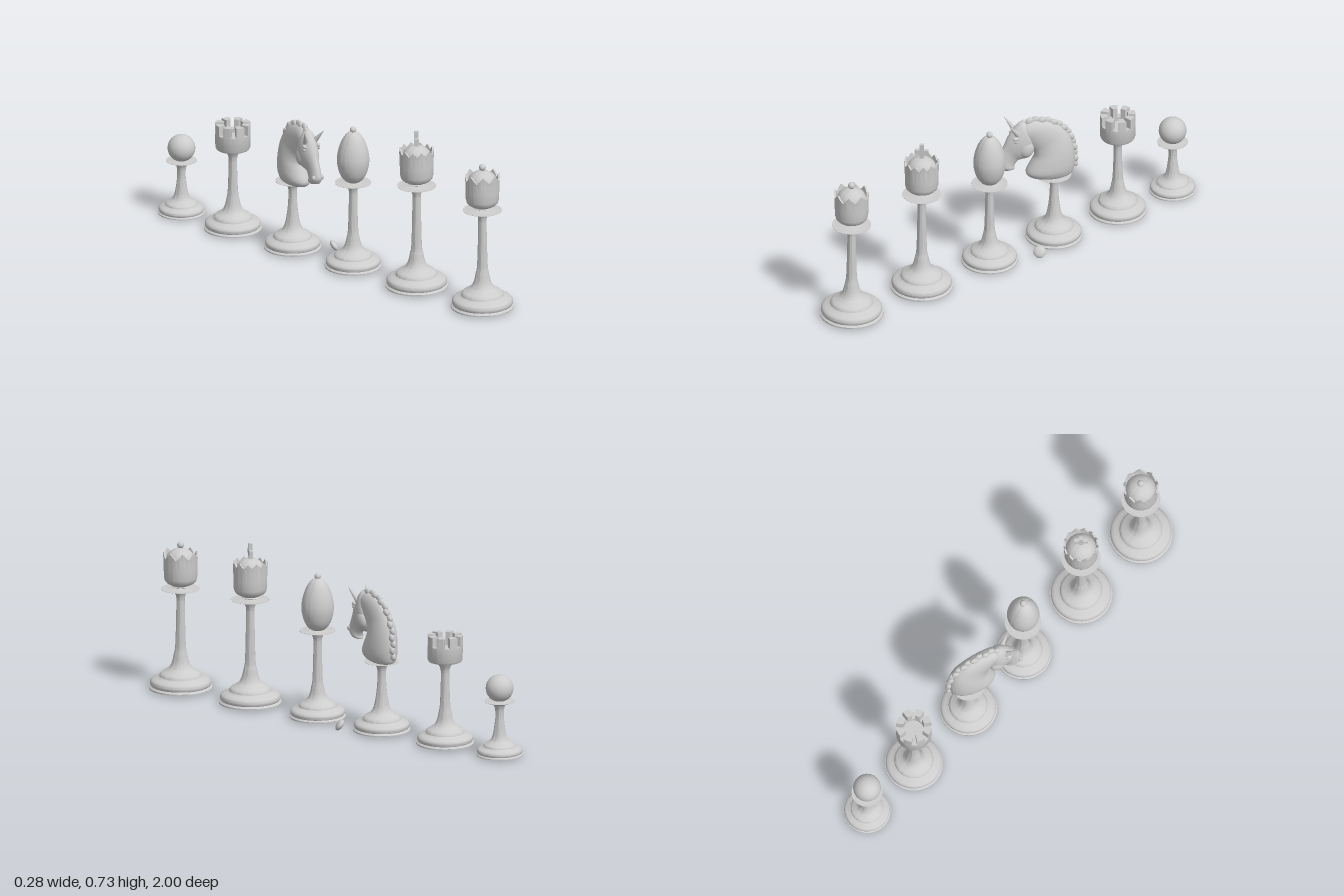
import * as THREE from 'three';
import { toCreasedNormals } from 'three/addons/utils/BufferGeometryUtils.js';

const grey = new THREE.MeshStandardMaterial({ color: 0xcccccc });
grey.name = 'light grey';

const v2 = (pts) => pts.map(([x, y]) => new THREE.Vector2(x, y));

function add(parent, name, geometry, x = 0, y = 0, z = 0) {
  const mesh = new THREE.Mesh(geometry, grey);
  mesh.name = name;
  mesh.position.set(x, y, z);
  parent.add(mesh);
  return mesh;
}

function turned(pts, segments = 64) {
  return toCreasedNormals(new THREE.LatheGeometry(v2(pts), segments), 0.6);
}

// Stepped foot, concave stem and (optionally) a thin saucer collar
function pedestal(piece, R, top, collar, hollow = true) {
  const k = R / 0.14;
  const inside = hollow
    ? [[0, 0.064], [0.03, 0.062], [0.065, 0.055], [0.095, 0.04], [0.112, 0.022], [0.12, 0.007]]
    : [[0, 0.007], [0.12, 0.007]];
  const foot = [[0.14, 0.007], [0.14, 0.013], [0.135, 0.015], [0.131, 0.02], [0.134, 0.025], [0.135, 0.033],
    [0.134, 0.04], [0.128, 0.047], [0.115, 0.053], [0.1, 0.058], [0.094, 0.062], [0.092, 0.07], [0.085, 0.078]];
  const sweep = [[0.085, 0.078], [0.068, 0.088], [0.05, 0.102], [0.038, 0.125], [0.03, 0.16], [0.023, 0.21]];
  const fit = ([r, y]) => [0.018 + (r - 0.018) * k, y * k];
  const stem = new THREE.SplineCurve(v2([...sweep.map(fit), [0.0185, top - 0.07], [0.02, top - 0.035], [0.027, top - 0.016]]))
    .getPoints(40).map((p) => [p.x, p.y]);
  const saucer = collar
    ? [[0.045, top - 0.009], [collar, top], [collar, top + 0.001], [0.045, top + 0.001], [0.03, top + 0.005], [0, top + 0.006]]
    : [[0.035, top], [0, top]];
  add(piece, 'pedestal', turned([...inside.map(([r, y]) => [r * k, y * k]), ...foot.map(fit), ...stem.slice(1), ...saucer]));
}

// Cup with a zigzag rim and a low dome inside
function crown(piece, base, H, teeth, depth) {
  const profile = [[0.026, 0], [0.036, 0.005], [0.032, 0.01], [0.046, 0.016], [0.06, 0.024], [0.069, 0.034], [0.073, 0.048],
    [0.074, 0.09], [0.075, H - 0.04], [0.077, H], [0.069, H], [0.066, H - 0.04], [0.058, H - 0.018],
    [0.044, H - 0.003], [0.024, H + 0.008], [0, H + 0.012]];
  const geo = new THREE.LatheGeometry(v2(profile), teeth * 8);
  const p = geo.attributes.position;
  for (let i = 0; i < p.count; i++) {
    const r = Math.hypot(p.getX(i), p.getZ(i));
    if (Math.abs(p.getY(i) - H) > 0.0001 || r < 0.06) continue;
    const turn = Math.atan2(p.getX(i), p.getZ(i)) / (2 * Math.PI) + 1;
    const f = (turn * teeth + 0.001) % 1;
    p.setY(i, H - depth * (1 - Math.abs(2 * f - 1)));
  }
  add(piece, 'crown', toCreasedNormals(geo, 0.6), 0, base, 0);
}

const ball = (piece, name, r, y) => add(piece, name, new THREE.SphereGeometry(r, 32, 24), 0, y, 0);

// Skin through sections [s1, y1, s2, y2, halfWidth], each an ellipse spanning two outline points
function loft(sections, n = 28) {
  const first = new THREE.CatmullRomCurve3(sections.map((s) => new THREE.Vector3(s[4], s[1], s[0])));
  const second = new THREE.CatmullRomCurve3(sections.map((s) => new THREE.Vector3(0, s[3], s[2])));
  const steps = sections.length * 4, pos = [], index = [];
  for (let i = -1; i <= steps + 1; i++) {
    const t = Math.min(1, Math.max(0, i / steps));
    const a = first.getPoint(t), b = second.getPoint(t);
    const size = i < 0 || i > steps ? 0 : 1;
    for (let j = 0; j < n; j++) {
      const ang = (j / n) * Math.PI * 2, c = Math.cos(ang) * size;
      pos.push(Math.sin(ang) * a.x * size, (a.y + b.y) / 2 + (c * (a.y - b.y)) / 2, (a.z + b.z) / 2 + (c * (a.z - b.z)) / 2);
    }
  }
  for (let i = 0; i < steps + 2; i++) for (let j = 0; j < n; j++) {
    const p = i * n + j, q = i * n + ((j + 1) % n);
    index.push(p, q, p + n, q, q + n, p + n);
  }
  const geo = new THREE.BufferGeometry();
  geo.setAttribute('position', new THREE.Float32BufferAttribute(pos, 3));
  geo.setIndex(index);
  geo.computeVertexNormals();
  return geo;
}

function horse(piece) {
  const bust = new THREE.Group();
  bust.name = 'horseBust';
  bust.rotation.y = -0.383;
  piece.add(bust);
  const neck = [[0.055, 0.315, -0.06, 0.315, 0.04], [0.115, 0.325, -0.082, 0.325, 0.052], [0.128, 0.347, -0.092, 0.36, 0.063],
    [0.108, 0.39, -0.092, 0.42, 0.062], [0.09, 0.425, -0.08, 0.485, 0.054], [0.095, 0.455, -0.055, 0.535, 0.045],
    [0.11, 0.475, -0.012, 0.575, 0.041], [0.13, 0.5, 0.05, 0.6, 0.037], [0.15, 0.52, 0.11, 0.605, 0.032], [0.16, 0.54, 0.14, 0.595, 0.018]];
  add(bust, 'neck', loft(neck));
  add(bust, 'head', loft([[0.095, 0.5, 0.12, 0.6, 0.015], [0.095, 0.455, 0.15, 0.605, 0.037], [0.115, 0.425, 0.185, 0.575, 0.042],
    [0.145, 0.42, 0.21, 0.535, 0.036], [0.165, 0.415, 0.23, 0.49, 0.027], [0.18, 0.39, 0.25, 0.45, 0.025],
    [0.18, 0.375, 0.262, 0.41, 0.027], [0.2, 0.371, 0.25, 0.385, 0.018]]));
  // Mane tufts along the crest
  const crest = new THREE.CatmullRomCurve3(neck.slice(2).map((s) => new THREE.Vector3(0, s[3], s[2])));
  for (let i = 0; i < 15; i++) {
    const t = i / 14, p = crest.getPointAt(t), d = crest.getTangentAt(t);
    const tuft = add(bust, 'maneTuft', new THREE.SphereGeometry(1, 14, 10), (i % 2 ? 1 : -1) * 0.003, p.y, p.z);
    tuft.scale.set(0.012, 0.02, 0.016);
    tuft.rotation.x = Math.atan2(d.z, d.y) + 0.45;
  }
  for (const side of [-1, 1]) {
    // Ears lean forward and outward
    const from = new THREE.Vector3(side * 0.02, 0.555, 0.17), to = new THREE.Vector3(side * 0.048, 0.617, 0.2155);
    const dir = to.clone().sub(from);
    const ear = add(bust, 'ear', new THREE.ConeGeometry(0.014, dir.length(), 16));
    ear.position.copy(from).addScaledVector(dir, 0.5);
    ear.quaternion.setFromUnitVectors(new THREE.Vector3(0, 1, 0), dir.normalize());
    const details = [['cheek', 0.026, 0.478, 0.132, 0.02, 0.04, 0.034], ['brow', 0.033, 0.54, 0.182, 0.009, 0.009, 0.014],
      ['eye', 0.036, 0.527, 0.183, 0.006, 0.007, 0.009], ['nostril', 0.02, 0.412, 0.246, 0.009, 0.012, 0.01]];
    for (const [name, x, y, z, a, b, c] of details)
      add(bust, name, new THREE.SphereGeometry(1, 20, 14), side * x, y, z).scale.set(a, b, c);
  }
}

// Thick-walled turret with eight raised blocks
function turret(piece) {
  add(piece, 'turret', turned([[0.02, 0.372], [0.06, 0.375], [0.072, 0.379], [0.077, 0.388], [0.078, 0.452], [0.045, 0.452],
    [0.045, 0.435], [0, 0.435]]));
  const half = (Math.PI / 8) * 0.62;
  for (let i = 0; i < 8; i++) {
    const shape = new THREE.Shape();
    shape.absarc(0, 0, 0.078, -half, half, false);
    shape.absarc(0, 0, 0.045, half, -half, true);
    const geo = new THREE.ExtrudeGeometry(shape, { depth: 0.047, bevelEnabled: false, curveSegments: 8 });
    geo.rotateX(-Math.PI / 2);
    add(piece, 'battlement', toCreasedNormals(geo, 0.6), 0, 0.45, 0).rotation.y = ((i + 0.5) * Math.PI) / 4;
  }
}

export function createModel() {
  const model = new THREE.Group();
  const piece = (name, z) => {
    const g = new THREE.Group();
    g.name = name;
    g.position.z = z;
    model.add(g);
    return g;
  };

  const queen = piece('queen', 0.861);
  pedestal(queen, 0.139, 0.457, 0.086);
  crown(queen, 0.461, 0.169, 8, 0.03);
  ball(queen, 'finial', 0.015, 0.656);

  const king = piece('king', 0.476);
  pedestal(king, 0.137, 0.474, 0.086);
  crown(king, 0.478, 0.172, 12, 0.02);
  const cross = new THREE.Group();
  cross.name = 'cross';
  cross.rotation.y = Math.PI / 4;
  king.add(cross);
  add(cross, 'crossPost', new THREE.BoxGeometry(0.019, 0.075, 0.016), 0, 0.69, 0);
  add(cross, 'crossBar', new THREE.BoxGeometry(0.06, 0.021, 0.016), 0, 0.69, 0);

  const bishop = piece('bishop', 0.104);
  pedestal(bishop, 0.122, 0.396, 0.08);
  const egg = new THREE.SplineCurve(v2([[0.022, 0.398], [0.042, 0.412], [0.061, 0.445], [0.071, 0.495], [0.066, 0.545],
    [0.049, 0.594], [0.026, 0.626], [0, 0.638]])).getPoints(40).map((p) => [Math.max(0, p.x), p.y]);
  add(bishop, 'mitre', turned(egg));
  ball(bishop, 'finial', 0.014, 0.643);

  const knight = piece('knight', -0.25);
  pedestal(knight, 0.124, 0.316, 0.076);
  horse(knight);

  const rook = piece('rook', -0.6);
  pedestal(rook, 0.125, 0.374, 0, false);
  turret(rook);

  const pawn = piece('pawn', -0.901);
  pedestal(pawn, 0.098, 0.247, 0.068);
  ball(pawn, 'head', 0.061, 0.306);

  // Loose tilted pebble on the ground
  const pebble = add(model, 'pebble', new THREE.SphereGeometry(0.027, 28, 20), 0.1, 0.023, -0.095);
  pebble.scale.set(1, 0.5, 1);
  pebble.quaternion.setFromUnitVectors(new THREE.Vector3(0, 1, 0), new THREE.Vector3(1, 1, 1).normalize());
  return model;
}
